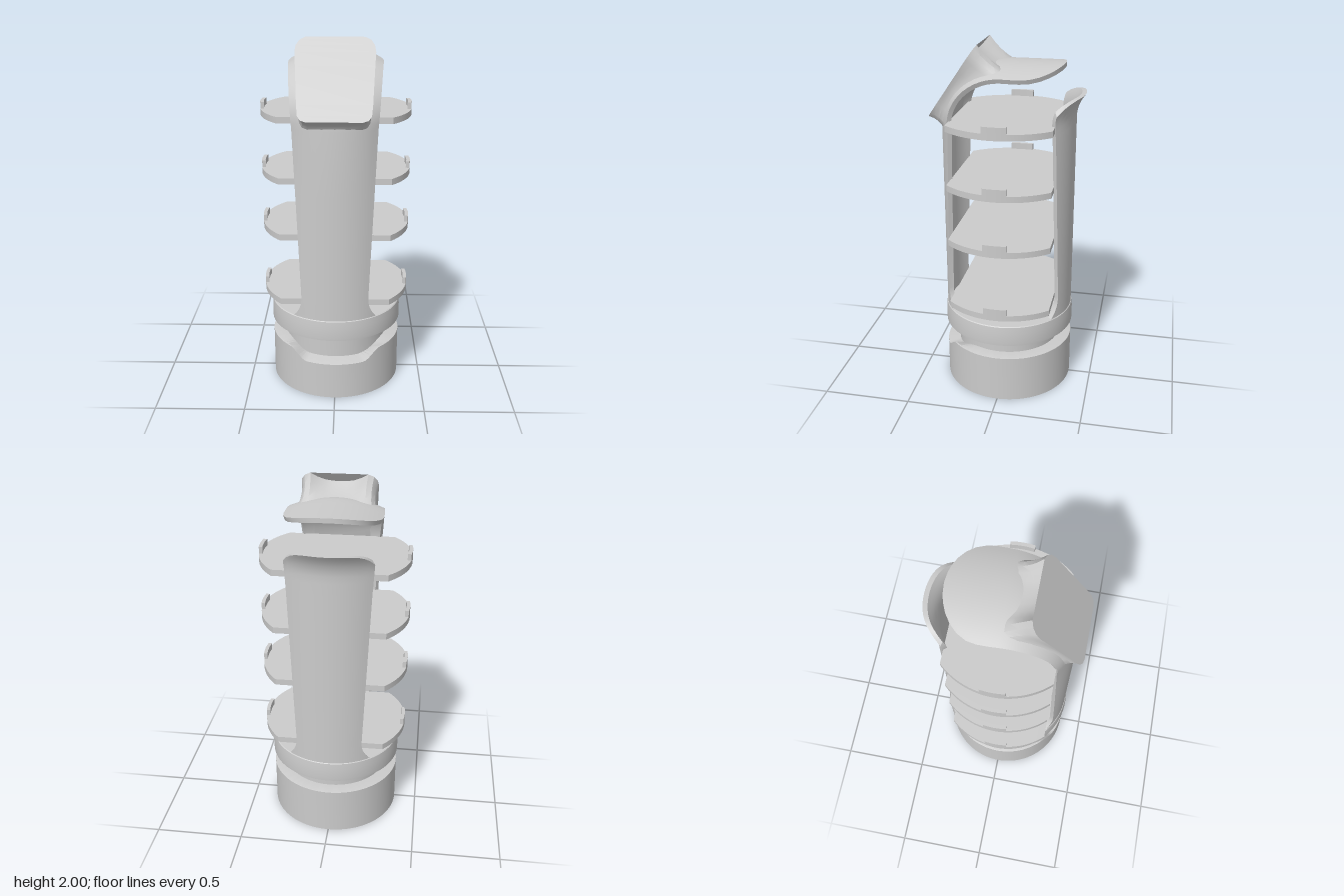
import * as THREE from 'three';
import { mergeVertices, toCreasedNormals } from 'three/addons/utils/BufferGeometryUtils.js';

const material = new THREE.MeshStandardMaterial({ color: 0xcccccc });
const V = (x, y, z) => new THREE.Vector3(x, y, z);

function part(name, geometry, crease = 0.6) {
  const mesh = new THREE.Mesh(toCreasedNormals(geometry, crease), material);
  mesh.name = name;
  return mesh;
}

// Skin closed rings of points; each end is capped by joining point i to point n-1-i
function loft(rings) {
  const n = rings[0].length;
  const last = (rings.length - 1) * n;
  const index = [];
  const quad = (a, b, c, d) => index.push(a, b, c, a, c, d);
  for (let r = 0; r < last; r += n) {
    for (let i = 0; i < n; i++) {
      const j = (i + 1) % n;
      quad(r + i, r + j, r + n + j, r + n + i);
    }
  }
  for (let i = 0; i < n / 2 - 1; i++) {
    quad(last + i, last + i + 1, last + n - 2 - i, last + n - 1 - i);
    quad(i, n - 1 - i, n - 2 - i, i + 1);
  }
  const g = new THREE.BufferGeometry();
  g.setAttribute('position', new THREE.Float32BufferAttribute(rings.flat().flatMap((p) => p.toArray()), 3));
  g.setIndex(index);
  return mergeVertices(g, 1e-5);
}

const THICK = 0.025;
const RADIUS = 0.367;
const STEPS = 20;

// Half width of a column at a height, flaring out where it meets the ring
const columnWidth = (y) =>
  0.185 + 0.043 * (y - 0.6) + 0.05 * Math.pow(Math.min(1, Math.max(0, (0.6 - y) / 0.12)), 2);

// Point on an arched section: station s has position (y, z), tilt angle and arch radius R
function archPoint(s, x, inset = 0) {
  const a = Math.asin(x / s.R);
  const drop = s.R - (s.R - inset) * Math.cos(a);
  return V((s.R - inset) * Math.sin(a), s.y - drop * Math.sin(s.tilt), s.z - drop * Math.cos(s.tilt));
}

function archRing(s) {
  const outer = [], inner = [];
  for (let i = 0; i <= STEPS; i++) {
    const x = s.w * (2 * i / STEPS - 1);
    outer.push(archPoint(s, x));
    inner.unshift(archPoint(s, x, THICK));
  }
  return [...outer, ...inner];
}

const upright = (y) => ({ y, z: RADIUS, tilt: 0, R: RADIUS, w: columnWidth(y) });
const bend = (t) => {
  const a = t * Math.PI / 2;
  return {
    y: 1.55 + 0.35 * Math.sin(a), z: RADIUS * Math.cos(a), tilt: a,
    R: RADIUS + 0.333 * t, w: 0.226 + 0.032 * t,
  };
};
const footYs = [0.44, 0.48, 0.5, 0.52, 0.545, 0.57, 0.6, 0.9, 1.2];

// Front column bending back into a rounded hood
function frontColumn() {
  const stations = footYs.map(upright);
  for (let i = 0; i <= 14; i++) stations.push(bend(i / 14));
  for (const z of [-0.05, -0.1, -0.15, -0.2, -0.24, -0.27, -0.29, -0.3, -0.305]) {
    const t = Math.max(0, (-0.1 - z) / 0.2051);
    stations.push({ y: 1.9, z, tilt: Math.PI / 2, R: 0.7, w: 0.26 * Math.sqrt(1 - t * t) });
  }
  return part('frontColumnAndHood', loft(stations.map(archRing)));
}

// Rear column with rounded top corners and an outward curling lip
function backColumn() {
  const ys = [...footYs, 1.5, 1.58, 1.62, 1.65, 1.68, 1.7, 1.72, 1.74];
  const rings = ys.map((y) => archRing(upright(y)).map((p) => {
    const u = p.x / columnWidth(y);
    p.y -= 0.075 * Math.pow(Math.abs(u), 5) * Math.max(0, (y - 1.5) / 0.24);
    p.z += 0.05 * Math.pow(Math.max(0, (p.y - 1.61) / 0.13), 2);
    return p;
  }));
  const mesh = part('backColumn', loft(rings));
  mesh.rotation.y = Math.PI;
  return mesh;
}

// Sloping display panel with a dipped top edge, blended into the bend of the column
function displayPanel() {
  const half = [
    [0, 0], [0.07, 0], [0.145, 0], [0.172, 0.02], [0.188, 0.07], [0.194, 0.2], [0.2, 0.45], [0.205, 0.65],
    [0.21, 0.82], [0.204, 0.9], [0.185, 0.965], [0.155, 1], [0.12, 0.94], [0.08, 0.895], [0.04, 0.875], [0, 0.87],
  ];
  const outline = [...half, ...half.map(([x, t]) => [-x, t]).reverse()];
  const face = outline.map(([x, t]) => V(x, 1.61 + 0.39 * t, 0.41 - 0.27 * t));
  const foot = outline.map(([x, t]) => archPoint(bend(Math.min(1, t * 1.05)), x * 1.02, 0.01));
  foot.forEach((p, i) => { if (outline[i][1] < 0.1) p.y -= 0.01; });
  const centre = V(0, 1.79, 0.25);
  const rings = [0, 0.25, 0.5, 0.75, 1].map((k) => foot.map((p, i) =>
    p.clone().lerp(face[i], k).lerp(centre, 0.16 * k * (1 - k))));
  return part('displayPanel', loft(rings), 0.5);
}

function lathe(name, profile) {
  return part(name, new THREE.LatheGeometry(profile.map(([r, y]) => new THREE.Vector2(r, y)), 96));
}

// Round plinth, its top rim dipped at the front
function plinth() {
  const profile = [[0, 0], [0.371, 0], [0.371, 0.275], [0.365, 0.277], [0.28, 0.277]];
  const g = new THREE.LatheGeometry(profile.map(([r, y]) => new THREE.Vector2(r, y)), 128);
  const p = g.attributes.position;
  for (let i = 0; i < p.count; i++) {
    if (p.getY(i) < 0.2 || p.getZ(i) < 0) continue;
    const k = 1 - THREE.MathUtils.smoothstep(Math.abs(p.getX(i)), 0.16, 0.26);
    const r = Math.hypot(p.getX(i), p.getZ(i));
    p.setY(i, p.getY(i) - k * (r > 0.3 ? 0.063 : 0.047));
  }
  return part('plinth', g);
}

function slab(name, shape, height) {
  const g = new THREE.ExtrudeGeometry(shape, { depth: height, bevelEnabled: false, curveSegments: 16 });
  return part(name, g.rotateX(-Math.PI / 2));
}

// Round shelf cut straight at front and back, with a stop tab on each side
function shelf(y) {
  const R = 0.413;
  const a = Math.asin(0.283 / R);
  const group = new THREE.Group();
  group.name = 'shelf';
  const plate = new THREE.Shape();
  plate.absarc(0, 0, R, -a, a, false);
  plate.absarc(0, 0, R, Math.PI - a, Math.PI + a, false);
  group.add(slab('shelfPlate', plate, 0.034));
  const stop = new THREE.Shape();
  stop.absarc(0, 0, R, -0.16, 0.16, false);
  stop.absarc(0, 0, R - 0.02, 0.165, -0.165, true);
  for (const turn of [0, Math.PI]) {
    const tab = slab(turn ? 'rightTab' : 'leftTab', stop, 0.07);
    tab.rotation.y = turn;
    group.add(tab);
  }
  group.position.y = y;
  return group;
}

export function createModel() {
  const model = new THREE.Group();
  model.name = 'displayStand';
  model.add(
    plinth(),
    lathe('neck', [[0.299, 0.2], [0.299, 0.37]]),
    lathe('ring', [[0.28, 0.365], [0.375, 0.365], [0.376, 0.38], [0.375, 0.44], [0.371, 0.478], [0.366, 0.482], [0, 0.482]]),
    frontColumn(),
    backColumn(),
    displayPanel(),
  );
  for (const y of [0.545, 0.928, 1.246, 1.575]) model.add(shelf(y));
  return model;
}
